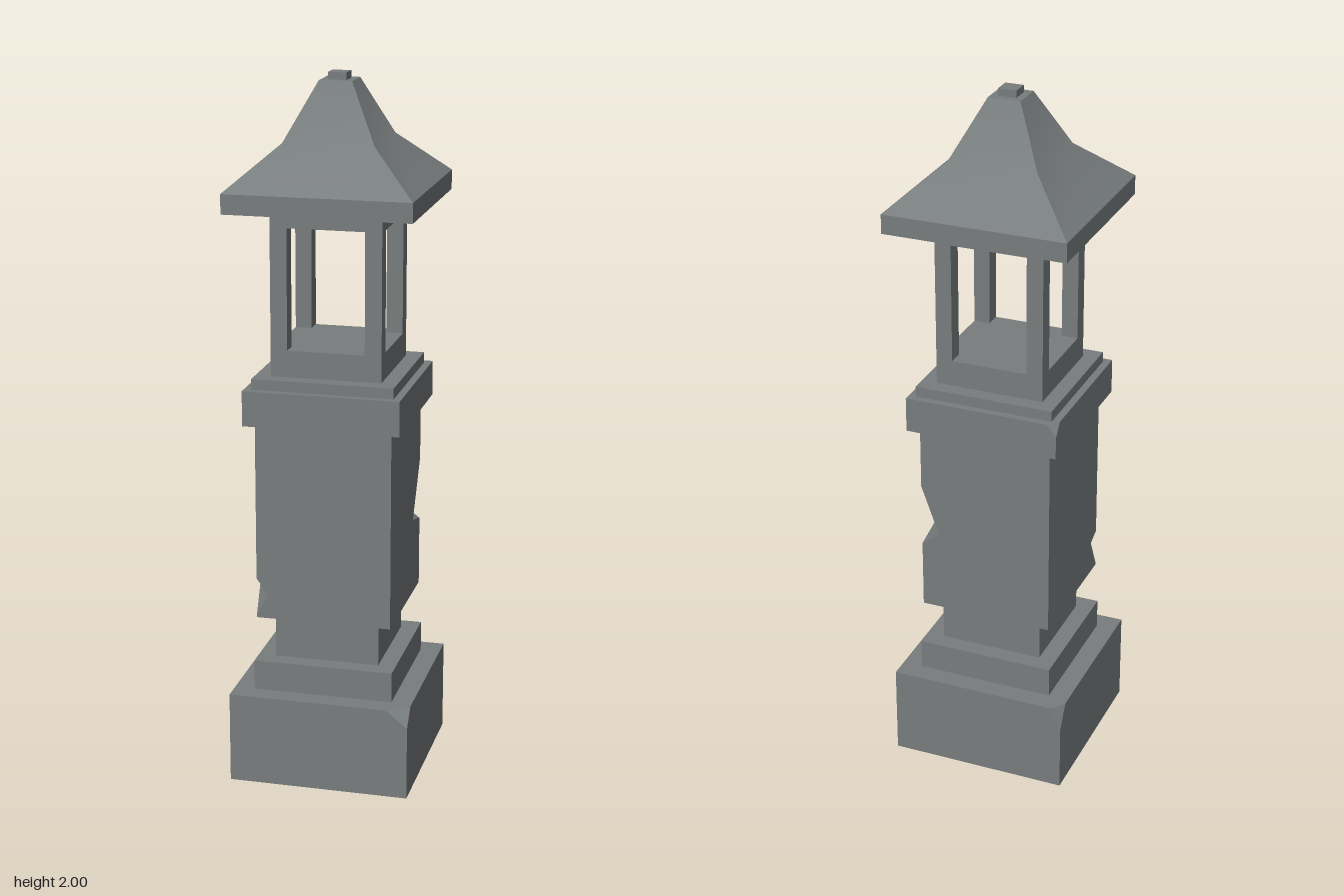
import * as THREE from 'three';
import { ConvexGeometry } from 'three/addons/geometries/ConvexGeometry.js';

const stone = new THREE.MeshStandardMaterial({ color: 0x787d7e });
stone.name = 'grey stone';

function add(parent, name, geometry) {
  const mesh = new THREE.Mesh(geometry, stone);
  mesh.name = name;
  parent.add(mesh);
  return mesh;
}

// Square block of half width h between two heights
function block(parent, name, h, y0, y1, x = 0, z = 0) {
  const mesh = add(parent, name, new THREE.BoxGeometry(2 * h, y1 - y0, 2 * h));
  mesh.position.set(x, (y0 + y1) / 2, z);
  return mesh;
}

// Square block with top corners broken off; chip: { sx, sz, dx, dy, dz }
function chippedBlock(parent, name, h, y0, y1, chips) {
  const points = [];
  for (const sx of [-1, 1]) for (const sz of [-1, 1]) {
    const x = sx * h, z = sz * h;
    points.push(new THREE.Vector3(x, y0, z));
    const c = chips.find((k) => k.sx === sx && k.sz === sz);
    if (c) {
      points.push(
        new THREE.Vector3(x - sx * c.dx, y1, z),
        new THREE.Vector3(x, y1, z - sz * c.dz),
        new THREE.Vector3(x, y1 - c.dy, z));
    } else points.push(new THREE.Vector3(x, y1, z));
  }
  return add(parent, name, new ConvexGeometry(points));
}

// Square shaft lofted from six-point rings, with notches in two opposite edges
function shaftGeometry(h) {
  const ring = (y, back = null, front = null) => {
    const b = back || { x: 0, z: 0, yx: y, yz: y };
    const f = front || { x: 0, z: 0, yx: y, yz: y };
    return [
      [h, y, h],
      [h, b.yz, -h + b.z], [h - b.x, b.yx, -h],
      [-h, y, -h],
      [-h, f.yz, h - f.z], [-h + f.x, f.yx, h],
    ];
  };
  const rings = [
    ring(0.48), ring(0.49),
    ring(0.565, null, { x: 0.033, z: 0.043, yx: 0.55, yz: 0.578 }),
    ring(0.597), ring(0.68),
    ring(0.712, { x: 0.052, z: 0.092, yx: 0.72, yz: 0.705 }),
    ring(0.865), ring(1.05),
  ];
  const pos = [];
  const tri = (a, b, c) => pos.push(...a, ...b, ...c);
  for (let k = 0; k < rings.length - 1; k++) {
    const lo = rings[k], hi = rings[k + 1];
    for (let i = 0; i < 6; i++) {
      const j = (i + 1) % 6;
      tri(lo[i], lo[j], hi[j]);
      tri(lo[i], hi[j], hi[i]);
    }
  }
  const bottom = rings[0], top = rings[rings.length - 1];
  for (let i = 1; i < 5; i++) {
    tri(bottom[0], bottom[i + 1], bottom[i]);
    tri(top[0], top[i], top[i + 1]);
  }
  const g = new THREE.BufferGeometry();
  g.setAttribute('position', new THREE.Float32BufferAttribute(pos, 3));
  g.computeVertexNormals();
  return g;
}

// One flared roof side facing +z, smooth from eave to top
function roofSideGeometry(profile) {
  const pos = [], index = [];
  profile.forEach(([r, y], k) => {
    pos.push(-r, y, r, r, y, r);
    if (k) {
      const a = 2 * k - 2;
      index.push(a, a + 1, a + 3, a, a + 3, a + 2);
    }
  });
  const g = new THREE.BufferGeometry();
  g.setAttribute('position', new THREE.Float32BufferAttribute(pos, 3));
  g.setIndex(index);
  g.computeVertexNormals();
  return g;
}

export function createModel() {
  const model = new THREE.Group();
  model.name = 'stoneLantern';

  // Stepped foot
  chippedBlock(model, 'base', 0.258, 0, 0.263, [
    { sx: 1, sz: 1, dx: 0.06, dy: 0.05, dz: 0.043 },
    { sx: -1, sz: -1, dx: 0.028, dy: 0.07, dz: 0.04 },
  ]);
  block(model, 'plinth', 0.2, 0.263, 0.35);
  block(model, 'neck', 0.15, 0.35, 0.48);

  // Shaft and its ledges
  add(model, 'shaft', shaftGeometry(0.193));
  chippedBlock(model, 'ledge', 0.221, 1.05, 1.15, [
    { sx: -1, sz: -1, dx: 0.025, dy: 0.035, dz: 0.03 },
  ]);
  block(model, 'upperLedge', 0.2, 1.15, 1.18);

  // Open lantern chamber
  const chamber = new THREE.Group();
  chamber.name = 'lanternChamber';
  model.add(chamber);
  block(chamber, 'chamberFloor', 0.156, 1.18, 1.255);
  block(chamber, 'chamberLintel', 0.156, 1.595, 1.645);
  for (const sx of [-1, 1]) for (const sz of [-1, 1]) {
    block(chamber, 'cornerPost', 0.0235, 1.255, 1.595, sx * 0.1325, sz * 0.1325);
  }

  // Flared roof
  const roof = new THREE.Group();
  roof.name = 'roof';
  model.add(roof);
  block(roof, 'eaveSlab', 0.261, 1.645, 1.7);
  const side = roofSideGeometry([[0.261, 1.7], [0.127, 1.82], [0.046, 1.98]]);
  for (let i = 0; i < 4; i++) add(roof, 'roofSide', side).rotation.y = i * Math.PI / 2;
  const top = add(roof, 'roofTop', new THREE.PlaneGeometry(0.092, 0.092));
  top.rotation.x = -Math.PI / 2;
  top.position.y = 1.98;
  block(roof, 'finial', 0.026, 1.98, 2);

  return model;
}
